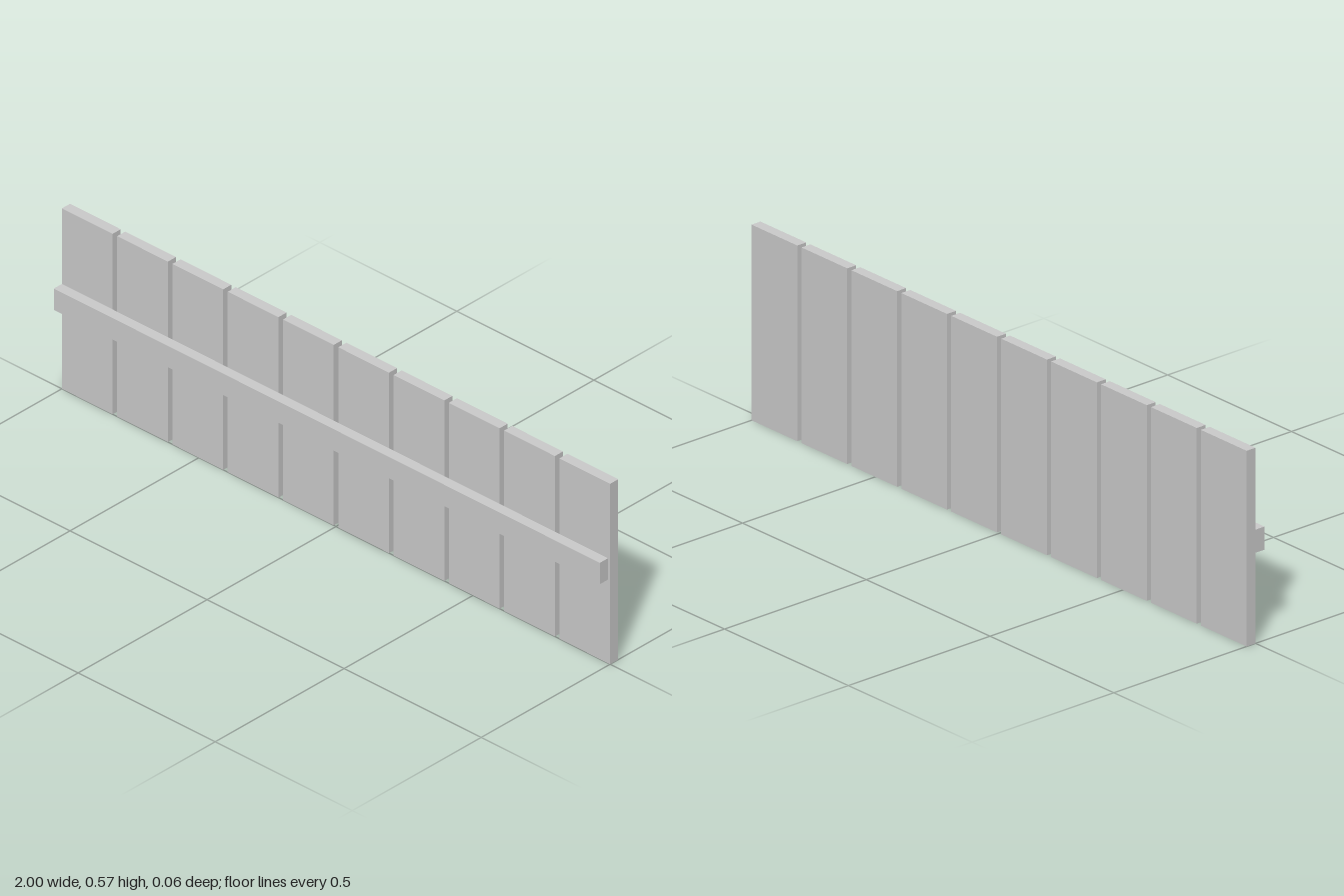
import * as THREE from 'three';

const PLANKS = 10, WIDTH = 0.185, HEIGHT = 0.567, DEPTH = 0.0315;

export function createModel() {
  const group = new THREE.Group();
  const material = new THREE.MeshStandardMaterial({ color: 0xcccccc, flatShading: true });

  const addBox = (name, w, h, d, x, y, z) => {
    const mesh = new THREE.Mesh(new THREE.BoxGeometry(w, h, d), material);
    mesh.name = name;
    mesh.position.set(x, y, z);
    group.add(mesh);
  };

  // Row of upright planks, evenly spaced with narrow gaps
  const pitch = (2 - WIDTH) / (PLANKS - 1);
  for (let i = 0; i < PLANKS; i++) {
    addBox(`plank${i + 1}`, WIDTH, HEIGHT, DEPTH, -1 + WIDTH / 2 + i * pitch, HEIGHT / 2, -DEPTH / 2);
  }

  // Horizontal rail across the front, stopping just short of the left end
  addBox('rail', 1.992, 0.067, DEPTH, -0.004, 0.296, DEPTH / 2);

  return group;
}
